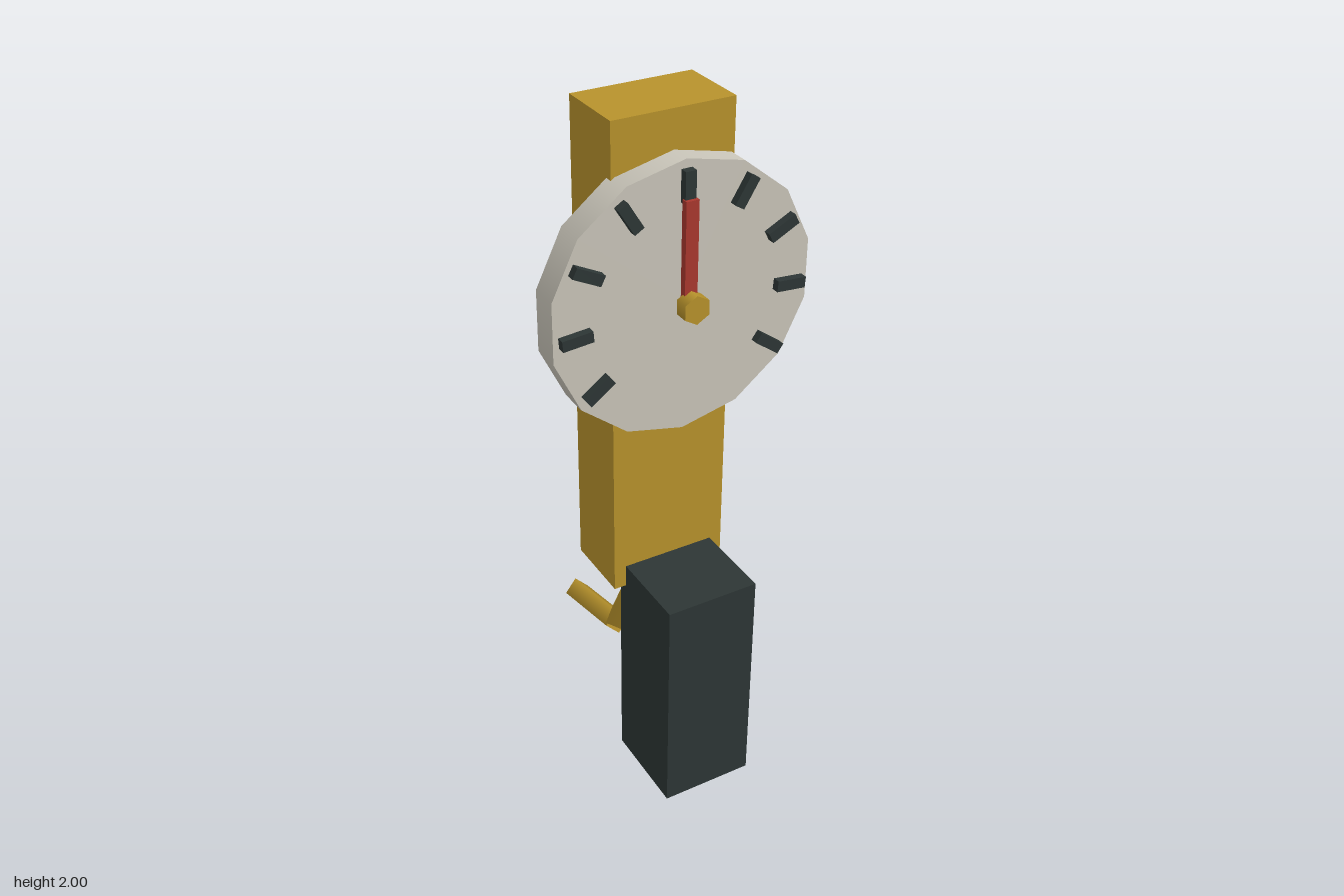
import * as THREE from 'three';

const mat = (name, color) => {
  const m = new THREE.MeshStandardMaterial({ color });
  m.name = name;
  return m;
};

export function createModel() {
  const gold = mat('gold', 0xb8932c);
  const cream = mat('cream', 0xcac6ba);
  const dark = mat('charcoal', 0x2d3635);
  const red = mat('red', 0xaa382e);

  const model = new THREE.Group();
  const add = (name, geometry, material, parent = model) => {
    const mesh = new THREE.Mesh(geometry, material);
    mesh.name = name;
    parent.add(mesh);
    return mesh;
  };
  // Box given by its limits on each axis
  const box = (x0, x1, y0, y1, z0, z1) =>
    new THREE.BoxGeometry(x1 - x0, y1 - y0, z1 - z0)
      .translate((x0 + x1) / 2, (y0 + y1) / 2, (z0 + z1) / 2);
  // Disc facing +z
  const disc = (r, z0, z1, sides) =>
    new THREE.CylinderGeometry(r, r, z1 - z0, sides)
      .rotateX(Math.PI / 2).translate(0, 0, (z0 + z1) / 2);

  // Tall case and the block in front of its foot
  add('case', box(-0.172, 0.172, 0.625, 2, -0.03, 0.177), gold);
  add('frontBlock', box(-0.136, 0.136, 0, 0.692, 0.145, 0.418), dark);

  // Dial with its marks, needle and hub
  const dial = new THREE.Group();
  dial.name = 'dial';
  dial.position.y = 1.52;
  model.add(dial);
  add('dialPlate', disc(0.376, 0.155, 0.238, 14), cream, dial);
  for (let i = -4; i <= 4; i++) {
    const mark = add('dialMark', box(-0.015, 0.015, 0.267, 0.352, 0.236, 0.26), dark, dial);
    mark.rotation.z = -i * 0.55;
  }
  add('needle', box(-0.018, 0.018, 0, 0.28, 0.25, 0.27), red, dial);
  add('hub', disc(0.04, 0.26, 0.301, 6), gold, dial);

  // Bent four-sided rod hanging behind
  const rod = (name, y0, z0, y1, z1) => {
    const a = new THREE.Vector3(0, y0, z0), b = new THREE.Vector3(0, y1, z1);
    const mesh = add(name, new THREE.CylinderGeometry(0.04, 0.04, a.distanceTo(b), 4), gold);
    mesh.position.addVectors(a, b).multiplyScalar(0.5);
    mesh.rotation.x = Math.atan2(z0 - z1, y0 - y1);
  };
  rod('upperRod', 0.622, 0.073, 0.22, -0.132);
  rod('lowerRod', 0.21, -0.13, 0.142, -0.411);

  return model;
}
